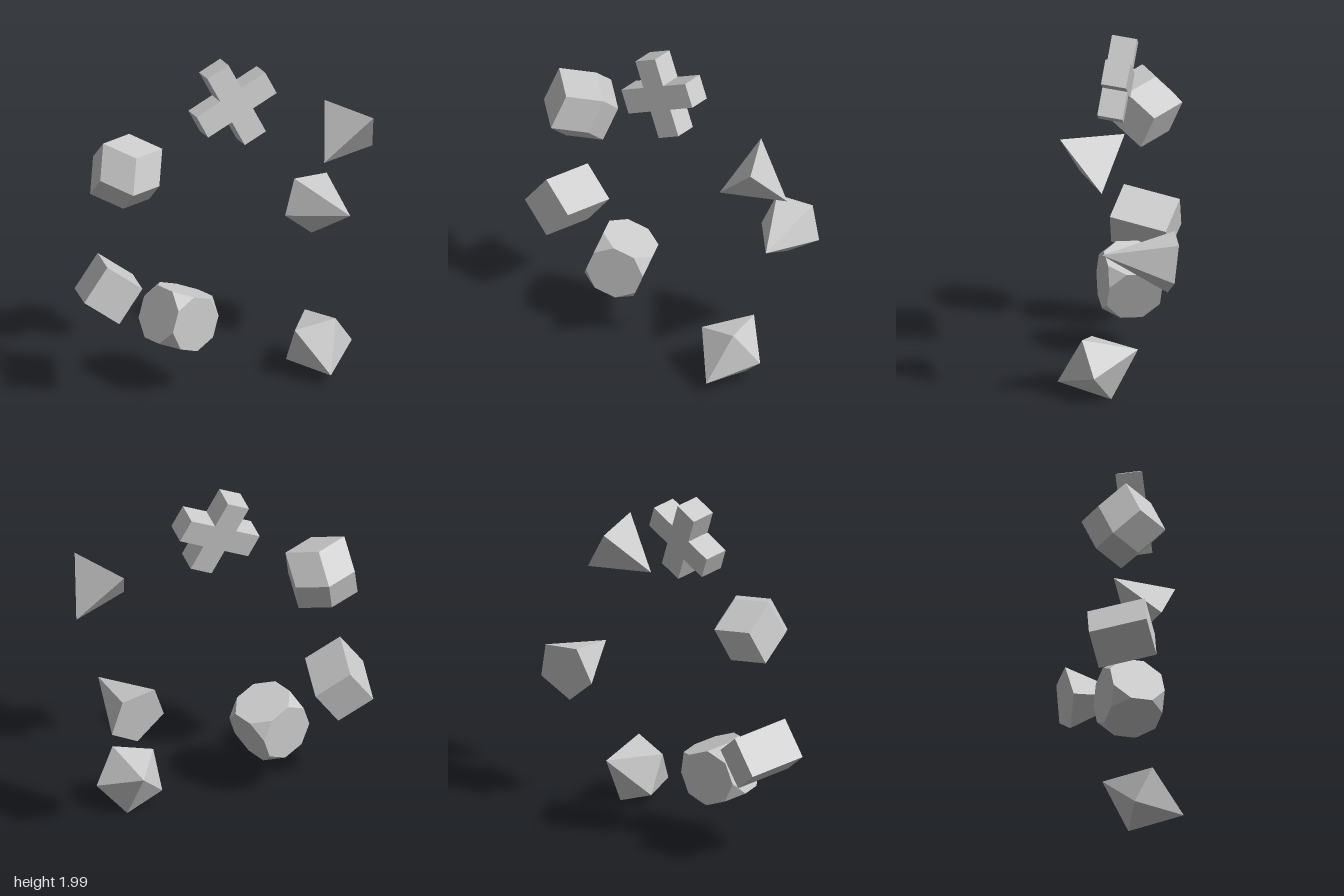
import * as THREE from 'three';
import { ConvexGeometry } from 'three/addons/geometries/ConvexGeometry.js';

const material = new THREE.MeshStandardMaterial({ color: 0xcccccc, flatShading: true });

// A solid centred at `center`, its local y and z axes turned to the given directions
function solid(name, geometry, center, yDir, zDir) {
  const y = new THREE.Vector3(...yDir).normalize();
  const x = y.clone().cross(new THREE.Vector3(...zDir)).normalize();
  const z = x.clone().cross(y);
  const mesh = new THREE.Mesh(geometry, material);
  mesh.name = name;
  mesh.quaternion.setFromRotationMatrix(new THREE.Matrix4().makeBasis(x, y, z));
  mesh.position.set(...center);
  return mesh;
}

// Plus-shaped prism: arm half-length a, half-width w, thickness d
function crossGeometry(a, w, d) {
  const shape = new THREE.Shape();
  for (let i = 0; i < 4; i++) {
    const c = Math.round(Math.cos(i * Math.PI / 2)), s = Math.round(Math.sin(i * Math.PI / 2));
    for (const [x, y] of [[a, -w], [a, w], [w, w]]) {
      const px = c * x - s * y, py = s * x + c * y;
      if (i === 0 && x === a && y === -w) shape.moveTo(px, py);
      else shape.lineTo(px, py);
    }
  }
  shape.closePath();
  return new THREE.ExtrudeGeometry(shape, { depth: d, bevelEnabled: false }).translate(0, 0, -d / 2);
}

// Eight cube corners plus six axial tips at distance r
function rhombicDodecahedron(r) {
  const points = [];
  for (const s of [-1, 1]) {
    points.push(new THREE.Vector3(s * r, 0, 0), new THREE.Vector3(0, s * r, 0), new THREE.Vector3(0, 0, s * r));
    for (const t of [-1, 1]) for (const u of [-1, 1])
      points.push(new THREE.Vector3(s, t, u).multiplyScalar(r / 2));
  }
  return new ConvexGeometry(points);
}

// Cube of half-size a with corners cut to leave regular octagons
function truncatedCube(a) {
  const c = a * (Math.SQRT2 - 1), points = [];
  for (const s of [-1, 1]) for (const t of [-1, 1]) for (const u of [-1, 1])
    points.push(
      new THREE.Vector3(s * c, t * a, u * a),
      new THREE.Vector3(s * a, t * c, u * a),
      new THREE.Vector3(s * a, t * a, u * c));
  return new ConvexGeometry(points);
}

// Two five-sided pyramids base to base
function bipyramid(r, h) {
  const profile = [[0, -h], [r, 0], [0, h]].map(([x, y]) => new THREE.Vector2(x, y));
  return new THREE.LatheGeometry(profile, 5);
}

export function createModel() {
  const group = new THREE.Group();
  group.name = 'ringOfSolids';
  group.add(
    solid('cross', crossGeometry(0.235, 0.0725, 0.145),
      [0.029, 1.75, 0.134], [-0.103, 0.206, -0.019], [0.1, 0.14, 0.985]),
    solid('tetrahedron', new THREE.TetrahedronGeometry(0.239),
      [0.709, 1.49, 0.133], [0.014, 0.55, -0.024], [0.124, -0.04, -0.532]),
    solid('pentagonalPyramid', new THREE.ConeGeometry(0.186, 0.411, 5),
      [0.667, 0.898, -0.125], [0.137, 0.061, 0.383], [-0.099, 0.156, 0.012]),
    solid('pentagonalBipyramid', bipyramid(0.207, 0.255),
      [0.528, 0.193, 0.137], [0.04, -0.213, 0.461], [0.085, 0.175, 0.067]),
    solid('truncatedCube', truncatedCube(0.155),
      [-0.288, 0.443, 0.138], [0.3, 0.94, -0.185], [0.43, 0.04, 0.9]),
    solid('squarePrism', new THREE.BoxGeometry(0.242, 0.242, 0.338),
      [-0.698, 0.662, 0.137], [0.137, 0.19, -0.023], [-0.024, 0.058, 0.333]),
    solid('rhombicDodecahedron', rhombicDodecahedron(0.247),
      [-0.594, 1.384, 0.136], [-0.14, 0.199, 0.027], [-0.017, -0.045, 0.242]));
  return group;
}
